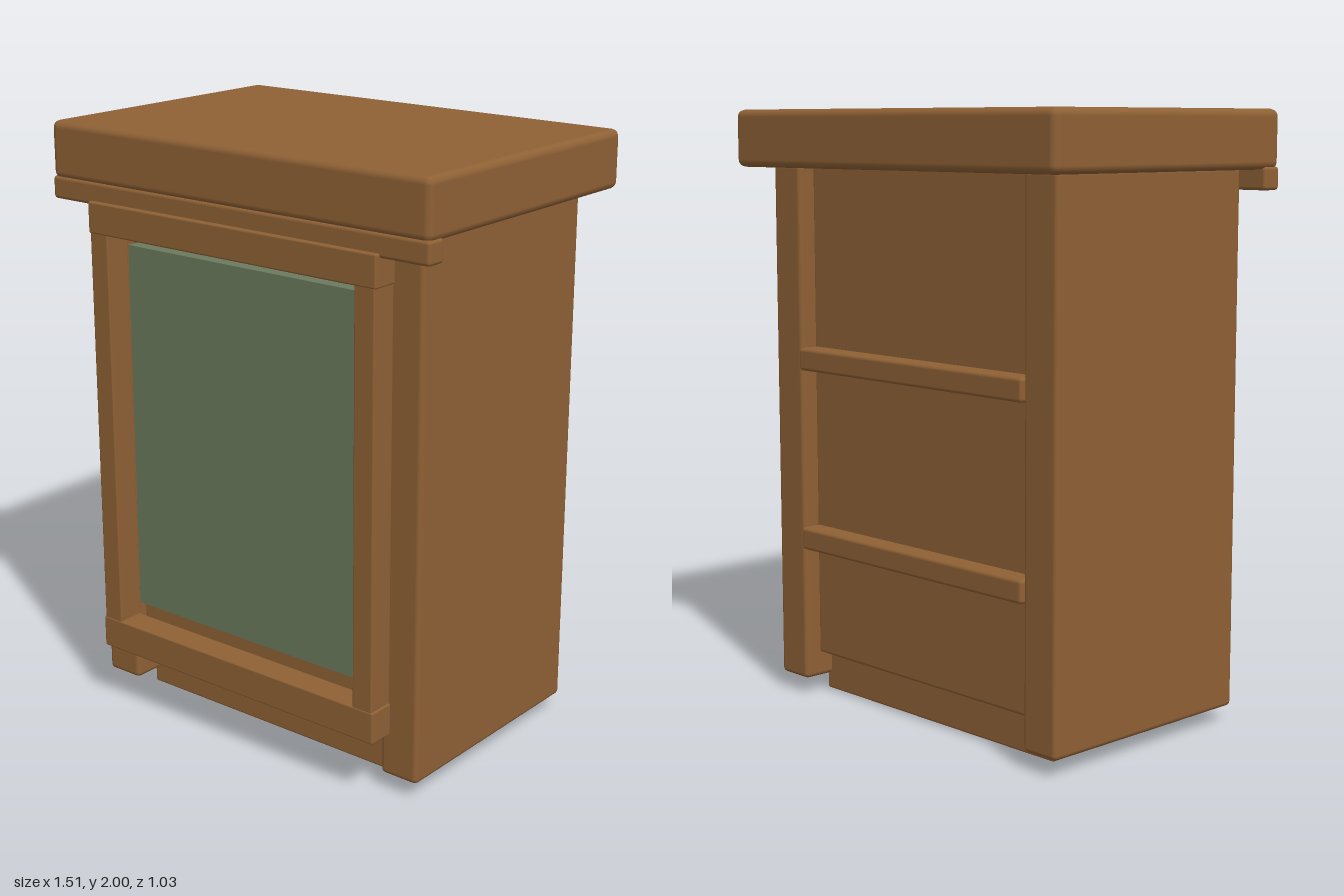
import * as THREE from 'three';
import { RoundedBoxGeometry } from 'three/addons/geometries/RoundedBoxGeometry.js';

export function createModel() {
  const group = new THREE.Group();
  group.name = 'cabinet';

  const wood = new THREE.MeshStandardMaterial({ color: 0x8f6135 });
  wood.name = 'brown wood';
  const glass = new THREE.MeshStandardMaterial({ color: 0x6b7a5d });
  glass.name = 'green glass';

  // Board with softened edges, given by its extents on each axis
  function board(name, [x0, x1], [y0, y1], [z0, z1], radius = 0.012) {
    const geometry = new RoundedBoxGeometry(x1 - x0, y1 - y0, z1 - z0, 2, radius);
    const mesh = new THREE.Mesh(geometry, wood);
    mesh.name = name;
    mesh.position.set((x0 + x1) / 2, (y0 + y1) / 2, (z0 + z1) / 2);
    group.add(mesh);
    return mesh;
  }

  // Top slab and the moulding under its front edge
  board('topSlab', [-0.755, 0.755], [1.81, 2], [-0.515, 0.497], 0.025);
  board('frontMoulding', [-0.755, 0.755], [1.745, 1.82], [0.425, 0.497], 0.012);

  // Carcass and recessed plinth
  board('carcass', [-0.54, 0.54], [0.14, 1.83], [-0.36, 0.36]);
  board('plinth', [-0.555, 0.555], [0, 0.135], [-0.31, 0.3], 0.008);

  // Mirrored side panels and door stiles
  for (const [side, label] of [[1, 'left'], [-1, 'right']]) {
    const span = (a, b) => (side > 0 ? [a, b] : [-b, -a]);
    board(label + 'SidePanel', span(0.532, 0.672), [0.055, 1.82], [-0.42, 0.408], 0.016);
    board(label + 'DoorStile', span(0.5, 0.575), [0.3, 1.67], [0.42, 0.513], 0.005);
  }

  // Door rails
  board('doorTopRail', [-0.58, 0.58], [1.657, 1.76], [0.42, 0.515], 0.006);
  board('doorBottomRail', [-0.58, 0.58], [0.21, 0.318], [0.42, 0.515], 0.006);

  // Glass pane behind the door opening
  const pane = new THREE.Mesh(new THREE.BoxGeometry(1, 1.255, 0.065), glass);
  pane.name = 'glassPane';
  pane.position.set(0, 0.985, 0.386);
  group.add(pane);

  // Battens across the back
  for (const y of [0.555, 1.17]) {
    board('backBatten', [-0.535, 0.535], [y - 0.038, y + 0.038], [-0.432, -0.35], 0.012);
  }

  return group;
}
